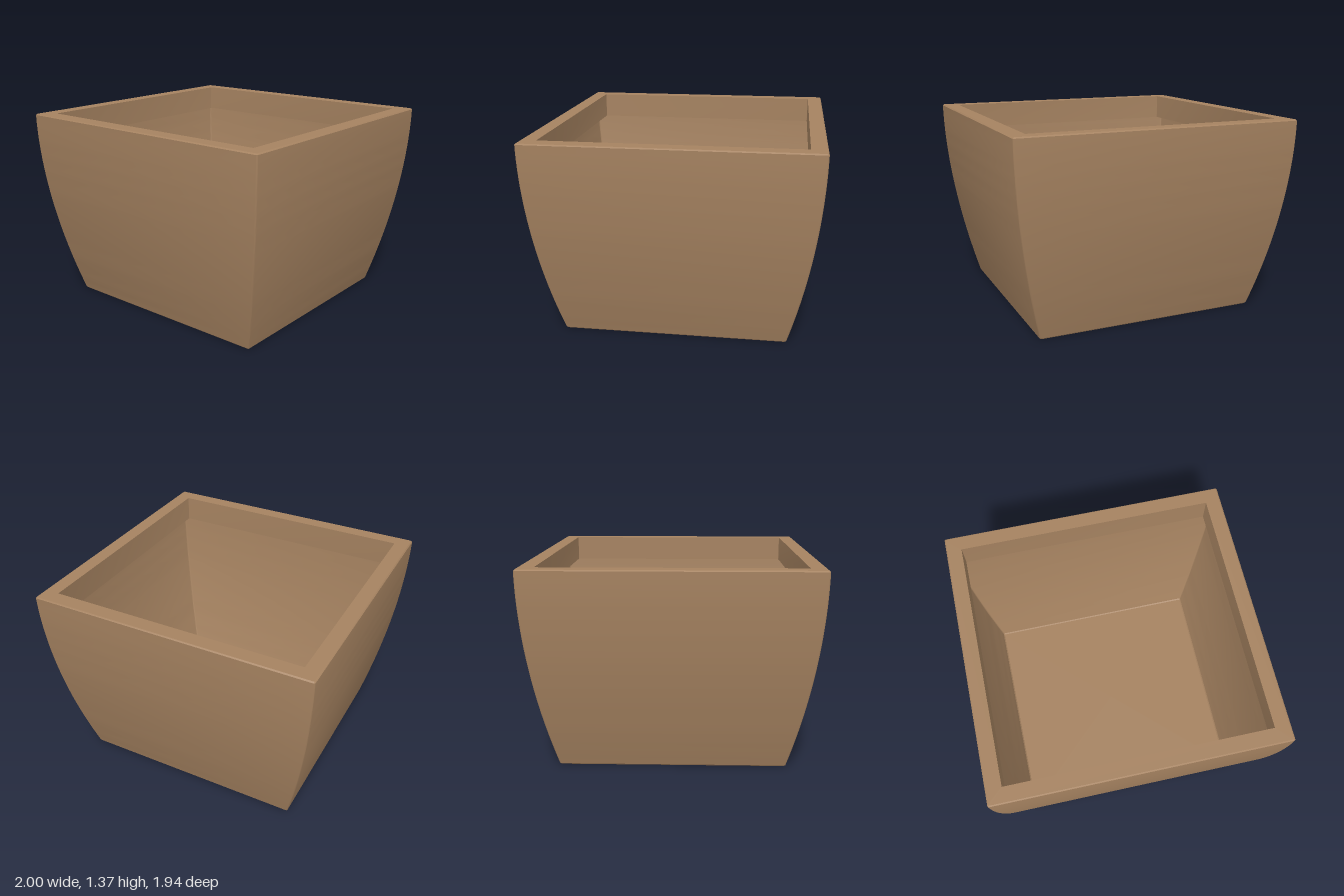
import * as THREE from 'three';
import { toCreasedNormals } from 'three/addons/utils/BufferGeometryUtils.js';

const HEIGHT = 1.365;
const BEVEL = 0.008;
const DEPTH_DIFF = 0.03; // the pot is slightly narrower in z than in x

// Rectangular ring with rounded corners, half sizes hx and hz
function ring(hx, hz, y, radius) {
  const points = [];
  for (let corner = 0; corner < 4; corner++) {
    const sx = corner === 0 || corner === 3 ? 1 : -1;
    const sz = corner < 2 ? 1 : -1;
    for (let i = 0; i <= 3; i++) {
      const a = (corner + i / 3) * Math.PI / 2;
      points.push([
        sx * (hx - radius) + radius * Math.cos(a), y,
        sz * (hz - radius) + radius * Math.sin(a),
      ]);
    }
  }
  return points;
}

// Joins successive rings with quads
function loft(rings) {
  const n = rings[0].length;
  const index = [];
  for (let r = 0; r < rings.length - 1; r++) {
    for (let i = 0; i < n; i++) {
      const a = r * n + i, b = r * n + (i + 1) % n;
      index.push(a, a + n, b, b, a + n, b + n);
    }
  }
  const geometry = new THREE.BufferGeometry();
  geometry.setAttribute('position', new THREE.Float32BufferAttribute(rings.flat(2), 3));
  geometry.setIndex(index);
  return toCreasedNormals(geometry, 0.6);
}

export function createModel() {
  const clay = new THREE.MeshStandardMaterial({ color: 0xa58260, side: THREE.DoubleSide });
  clay.name = 'clay brown';
  const group = new THREE.Group();
  group.name = 'planter';

  const add = (name, rings) => {
    const mesh = new THREE.Mesh(loft(rings), clay);
    mesh.name = name;
    group.add(mesh);
  };
  const level = (hx, y, radius = 0.01) => ring(hx, hx - DEPTH_DIFF, y, radius);

  // Half width of the bulging wall at height y
  const wallAt = (y) => 1 - 0.205 * Math.pow(1 - y / HEIGHT, 1.85);

  // Flat bottom with a softened edge
  add('base', [
    ring(0, 0, 0, 0),
    level(wallAt(0) - 0.006, 0),
    level(wallAt(BEVEL), BEVEL),
  ]);

  // Thin curved walls
  const wall = [];
  const steps = 24;
  for (let i = 0; i <= steps; i++) {
    const y = BEVEL + (HEIGHT - 2 * BEVEL) * i / steps;
    wall.push(level(wallAt(y), y));
  }
  add('walls', wall);

  // Flat rim that folds down inside the opening
  add('rim', [
    level(1, HEIGHT - BEVEL),
    level(1 - BEVEL, HEIGHT),
    level(0.892, HEIGHT, 0.002),
    level(0.892, 1.18, 0.002),
  ]);

  return group;
}
